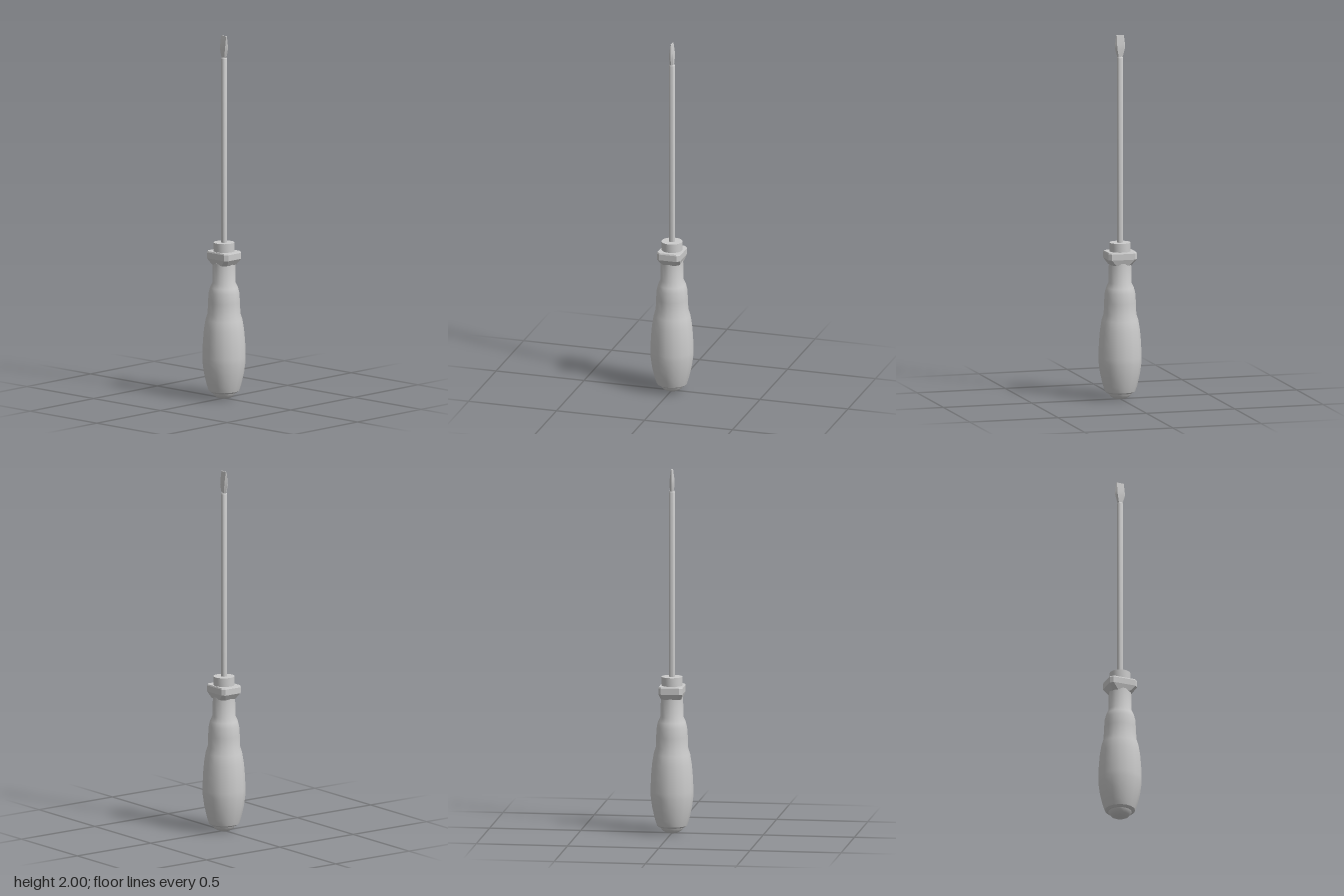
import * as THREE from 'three';
import { toCreasedNormals } from 'three/addons/utils/BufferGeometryUtils.js';

const material = new THREE.MeshStandardMaterial({ color: 0xcccccc });

function addMesh(group, name, geometry, crease) {
  const mesh = new THREE.Mesh(toCreasedNormals(geometry, crease), material);
  mesh.name = name;
  group.add(mesh);
}

// Turned part from [radius, height] pairs, bottom to top
function turned(profile, sides) {
  return new THREE.LatheGeometry(profile.map(([r, y]) => new THREE.Vector2(r, y)), sides);
}

// Closed solid through rings of [x, z] corners at rising heights
function loft(rings) {
  const n = rings[0].points.length;
  const positions = [];
  const index = [];
  for (const { y, points } of rings) for (const [x, z] of points) positions.push(x, y, z);
  for (let r = 0; r < rings.length - 1; r++) {
    for (let i = 0; i < n; i++) {
      const a = r * n + i, b = r * n + (i + 1) % n;
      index.push(a, a + n, b, b, a + n, b + n);
    }
  }
  const top = (rings.length - 1) * n;
  for (let i = 1; i < n - 1; i++) {
    index.push(0, i, i + 1);
    index.push(top, top + i + 1, top + i);
  }
  const geometry = new THREE.BufferGeometry();
  geometry.setAttribute('position', new THREE.Float32BufferAttribute(positions, 3));
  geometry.setIndex(index);
  return geometry;
}

// Rectangle with cut corners, ordered from +x towards +z
function cutRect(y, hx, hz, cut) {
  const a = hx - cut, b = hz - cut;
  return { y, points: [[hx, -b], [hx, b], [a, hz], [-a, hz], [-hx, b], [-hx, -b], [-a, -hz], [a, -hz]] };
}

// Flat hexagon with its points along z
function bladeRing(y, hx, hz, shoulder) {
  return { y, points: [[hx, -shoulder], [hx, shoulder], [0, hz], [-hx, shoulder], [-hx, -shoulder], [0, -hz]] };
}

export function createModel() {
  const model = new THREE.Group();
  model.name = 'screwdriver';

  // Rounded end cap below the grip
  addMesh(model, 'endCap', turned([
    [0, 0], [0.03, 0.002], [0.05, 0.012], [0.063, 0.028], [0.066, 0.04], [0, 0.04],
  ], 16), 0.6);

  // Swelling grip, shoulder and slim neck
  addMesh(model, 'grip', turned([
    [0, 0.033], [0.07, 0.033], [0.083, 0.042], [0.094, 0.075], [0.109, 0.14], [0.117, 0.2],
    [0.118, 0.23], [0.115, 0.31], [0.109, 0.38], [0.1, 0.435], [0.089, 0.47],
    [0.087, 0.53], [0.083, 0.585], [0.076, 0.612], [0.063, 0.64], [0.061, 0.75], [0, 0.75],
  ], 16), 0.6);

  // Cut-corner collar that flares out of the neck
  addMesh(model, 'collar', loft([
    cutRect(0.74, 0.056, 0.058, 0.022),
    cutRect(0.772, 0.066, 0.08, 0.016),
    cutRect(0.805, 0.066, 0.08, 0.016),
    cutRect(0.812, 0.063, 0.077, 0.016),
  ]), 0.3);

  // Round ferrule around the shaft
  addMesh(model, 'ferrule', turned([
    [0, 0.805], [0.057, 0.805], [0.057, 0.86], [0, 0.86],
  ], 32), 0.6);

  // Shaft with a slightly chamfered end
  addMesh(model, 'shaft', turned([
    [0, 0.85], [0.017, 0.85], [0.017, 1.875], [0.013, 1.882], [0, 1.882],
  ], 16), 0.6);

  // Flat blade, broad across z and thinning towards the tip
  addMesh(model, 'blade', loft([
    bladeRing(1.875, 0.009, 0.014, 0.009),
    bladeRing(1.925, 0.012, 0.028, 0.018),
    bladeRing(1.95, 0.01, 0.028, 0.019),
    bladeRing(2, 0.003, 0.022, 0.019),
  ]), 0.3);

  return model;
}
